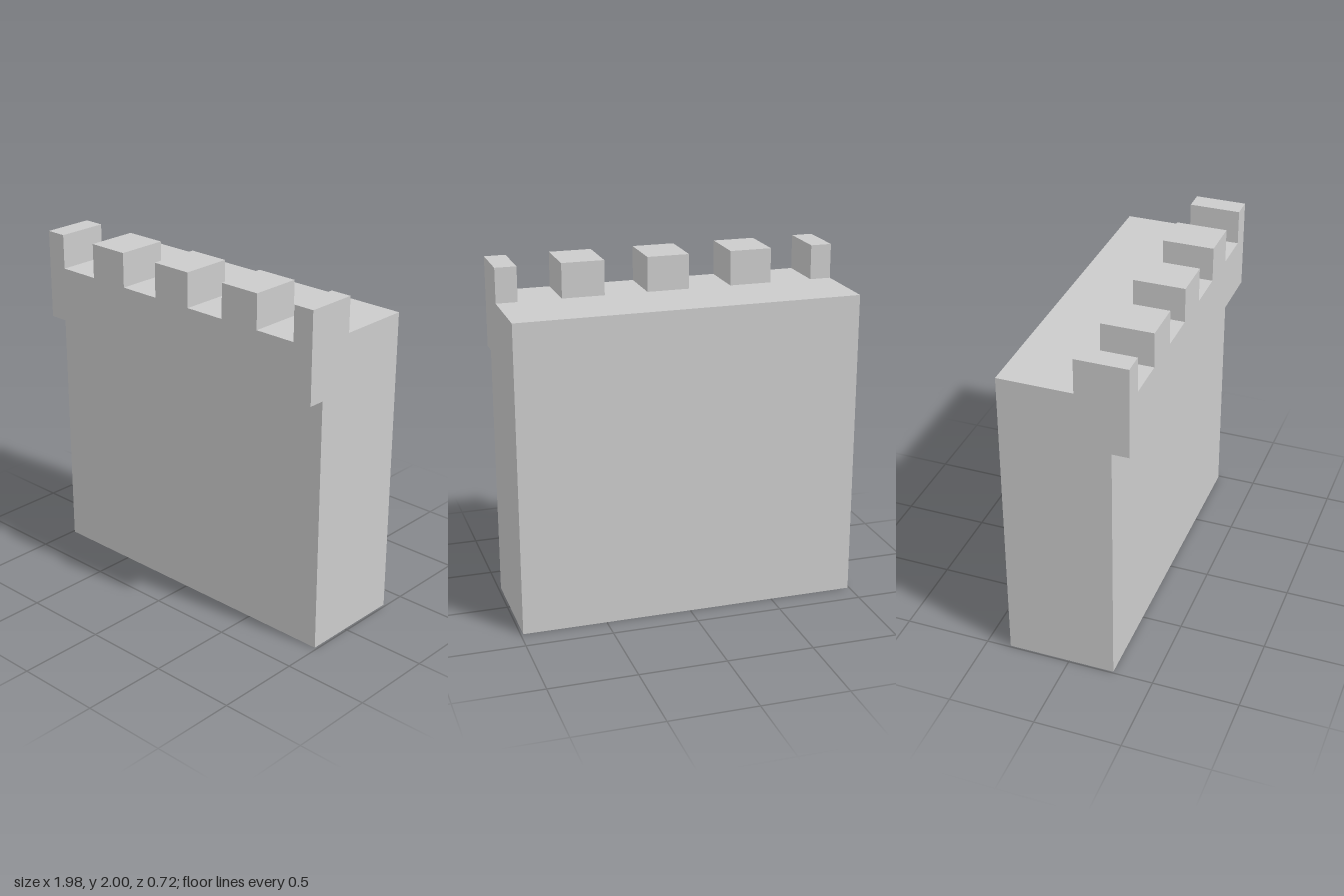
import * as THREE from 'three';

export function createModel() {
  const group = new THREE.Group();
  group.name = 'battlementWall';
  const material = new THREE.MeshStandardMaterial({ color: 0xcccccc, flatShading: true });

  const left = -0.99, right = 0.985;
  const back = -0.36, face = 0.265, front = 0.36;
  const ledgeY = 1.48, walkY = 1.8, topY = 2;
  const merlonBack = 0.065;

  // Wall with overhanging parapet: side profile (z, y) swept along x
  const profile = new THREE.Shape([
    [back, 0], [face, 0], [face, ledgeY], [front, ledgeY], [front, walkY], [back, walkY],
  ].map(([z, y]) => new THREE.Vector2(z, y)));
  const wallGeometry = new THREE.ExtrudeGeometry(profile, { depth: right - left, bevelEnabled: false });
  wallGeometry.rotateY(-Math.PI / 2).translate(right, 0, 0);
  const wall = new THREE.Mesh(wallGeometry, material);
  wall.name = 'wall';
  group.add(wall);

  // Merlons evenly spaced along the front edge, the end ones cut in half by the wall ends
  const count = 5, width = 0.245;
  const pitch = (right - left) / (count - 1);
  for (let i = 0; i < count; i++) {
    const centre = left + i * pitch;
    const x0 = Math.max(left, centre - width / 2);
    const x1 = Math.min(right, centre + width / 2);
    const merlon = new THREE.Mesh(
      new THREE.BoxGeometry(x1 - x0, topY - walkY, front - merlonBack), material);
    merlon.position.set((x0 + x1) / 2, (walkY + topY) / 2, (merlonBack + front) / 2);
    merlon.name = `merlon${i + 1}`;
    group.add(merlon);
  }
  return group;
}
